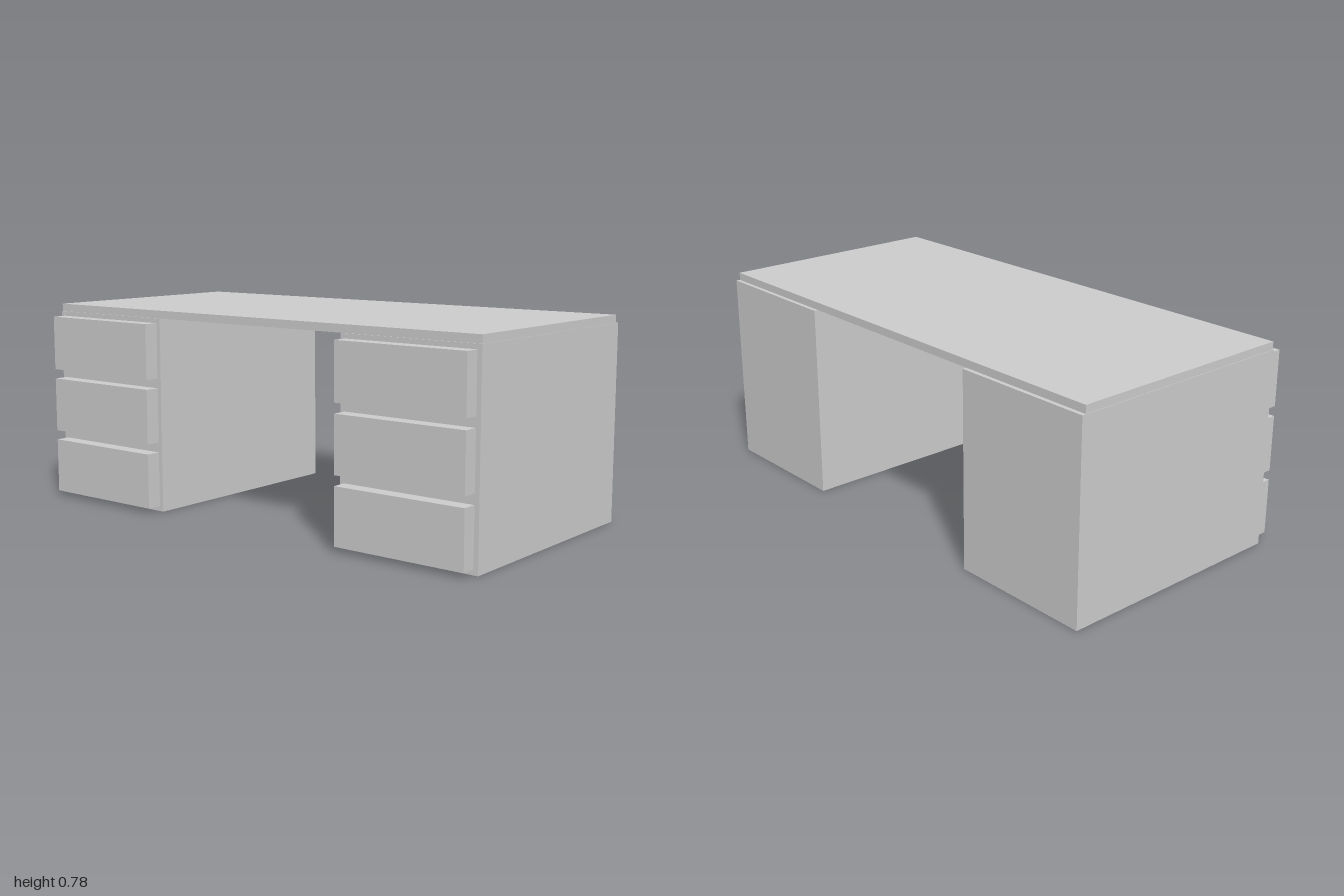
import * as THREE from 'three';

const material = new THREE.MeshStandardMaterial({ color: 0xcccccc, flatShading: true });

// Box given by its minimum and maximum corners
function block(name, [x0, y0, z0], [x1, y1, z1]) {
  const geometry = new THREE.BoxGeometry(x1 - x0, y1 - y0, z1 - z0);
  const mesh = new THREE.Mesh(geometry, material);
  mesh.position.set((x0 + x1) / 2, (y0 + y1) / 2, (z0 + z1) / 2);
  mesh.name = name;
  return mesh;
}

// Cabinet with three protruding drawer fronts, centred on its own x = 0
function createPedestal(name) {
  const pedestal = new THREE.Group();
  pedestal.name = name;
  pedestal.add(block('cabinet', [-0.282, 0, -0.5], [0.282, 0.753, 0.442]));
  ['bottomDrawer', 'middleDrawer', 'topDrawer'].forEach((drawer, i) => {
    const y = 0.02 + i * 0.251;
    pedestal.add(block(drawer, [-0.264, y, 0.43], [0.264, y + 0.213, 0.5]));
  });
  return pedestal;
}

export function createModel() {
  const desk = new THREE.Group();
  desk.name = 'desk';

  // Table top, set slightly forward of the cabinet backs
  desk.add(block('tableTop', [-0.998, 0.753, -0.484], [0.998, 0.783, 0.438]));

  // One drawer pedestal at each end
  for (const side of [-1, 1]) {
    const pedestal = createPedestal(side > 0 ? 'leftPedestal' : 'rightPedestal');
    pedestal.position.x = side * 0.718;
    desk.add(pedestal);
  }
  return desk;
}
